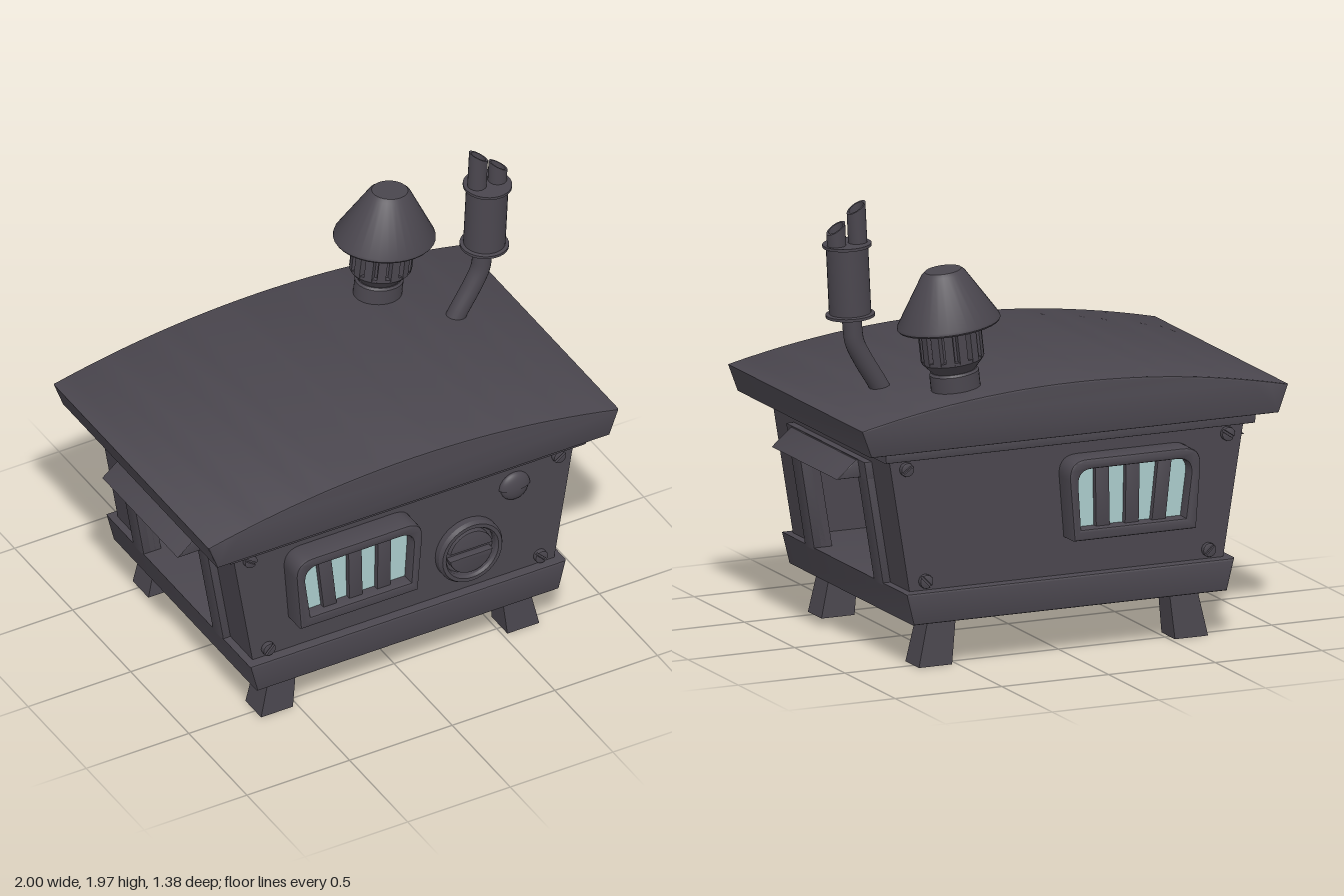
import * as THREE from 'three';
import { toCreasedNormals } from 'three/addons/utils/BufferGeometryUtils.js';

const dark = new THREE.MeshStandardMaterial({ color: 0x4a464e });
const darkOpen = new THREE.MeshStandardMaterial({ color: 0x4a464e, side: THREE.DoubleSide });
const glass = new THREE.MeshStandardMaterial({ color: 0xaacccc });

function add(parent, name, geometry, material = dark, x = 0, y = 0, z = 0) {
  const mesh = new THREE.Mesh(geometry, material);
  mesh.name = name;
  mesh.position.set(x, y, z);
  parent.add(mesh);
  return mesh;
}

const polygon = pts => new THREE.Shape(pts.map(p => new THREE.Vector2(p[0], p[1])));

// An outline in x and y, extruded from z0 to z1 with softened edges
function prism(shape, z0, z1, bevel = 0.008) {
  const g = new THREE.ExtrudeGeometry(shape, {
    depth: z1 - z0 - 2 * bevel, curveSegments: 10, bevelEnabled: bevel > 0,
    bevelSize: bevel, bevelThickness: bevel, bevelOffset: -bevel, bevelSegments: 2,
  });
  g.translate(0, 0, z0 + bevel);
  return toCreasedNormals(g, 0.5);
}

const lathe = (pts, sides = 32) =>
  toCreasedNormals(new THREE.LatheGeometry(pts.map(p => new THREE.Vector2(p[0], p[1])), sides), 0.5);

// Symmetric trapezoid: half width at bottom and top
const trapezoid = (wb, y0, wt, y1) => polygon([[-wb, y0], [wb, y0], [wt, y1], [-wt, y1]]);

// Window outline: flat bottom, wider rounded top
function windowOutline(bl, br, y0, tl, tr, y1, r) {
  const s = new THREE.Shape();
  s.moveTo(bl, y0);
  s.lineTo(br, y0);
  s.lineTo(tr - r * 0.07, y1 - r);
  s.quadraticCurveTo(tr, y1, tr - r, y1);
  s.lineTo(tl + r, y1);
  s.quadraticCurveTo(tl, y1, tl + r * 0.07, y1 - r);
  s.closePath();
  return s;
}

// Two half discs with a slot between them
function slottedDisc(parent, name, r, gap, z0, z1, bevel) {
  const a = Math.asin(gap / r);
  for (const turn of [0, Math.PI]) {
    const s = new THREE.Shape();
    s.absarc(0, 0, r, turn + a, turn + Math.PI - a, false);
    s.closePath();
    add(parent, name, prism(s, z0, z1, bevel));
  }
}

const disc = (r, depth, sides = 32) => new THREE.CylinderGeometry(r, r, depth, sides).rotateX(Math.PI / 2);

// Outer x of the sloping end walls at height y
const wallX = y => 0.735 + (y - 0.345) * 0.164;

// Strip following the end wall slope, from height y0 to y1
const wallStrip = (side, y0, y1, inner, outer) => polygon([
  [side * (wallX(y0) + inner), y0], [side * (wallX(y0) + outer), y0],
  [side * (wallX(y1) + outer), y1], [side * (wallX(y1) + inner), y1]]);

function addBody(root) {
  // Curved roof
  const roof = [[-0.955, 0.97], [0.955, 0.97]];
  for (let i = 0; i <= 24; i++) {
    const x = 1 - i / 12;
    roof.push([x, 1.09 + 0.115 * (1 - x * x)]);
  }
  add(root, 'roof', prism(polygon(roof), -0.67, 0.67));
  add(root, 'roofTrim', prism(trapezoid(0.865, 0.925, 0.87, 0.975), -0.625, 0.625, 0.005));
  add(root, 'base', prism(trapezoid(0.735, 0.205, 0.77, 0.345), -0.625, 0.625, 0.012));

  for (const s of [1, -1]) {
    // Front and back walls
    const zs = [s * 0.53, s * 0.58].sort((a, b) => a - b);
    add(root, 'longWall', prism(trapezoid(wallX(0.34), 0.34, wallX(0.93), 0.93), zs[0], zs[1], 0));

    // End walls with an open doorway, its frame and canopy
    add(root, 'endWallTop', prism(wallStrip(s, 0.8, 0.93, -0.05, 0), -0.54, 0.54, 0));
    add(root, 'doorLintel', prism(wallStrip(s, 0.8, 0.88, -0.03, 0.035), -0.39, 0.39, 0.005));
    for (const [z0, z1] of [[0.295, 0.54], [-0.54, -0.295]])
      add(root, 'endWallSide', prism(wallStrip(s, 0.34, 0.82, -0.05, 0), z0, z1, 0));
    for (const [z0, z1] of [[0.295, 0.39], [-0.39, -0.295]])
      add(root, 'doorPost', prism(wallStrip(s, 0.335, 0.88, -0.03, 0.035), z0, z1, 0.005));
    add(root, 'doorCanopy', prism(polygon([[s * 0.84, 0.8], [s * 0.955, 0.8], [s * 0.865, 0.877], [s * 0.84, 0.877]]), -0.325, 0.325, 0.003));

    // Splayed legs
    for (const sz of [1, -1]) {
      const g = new THREE.BoxGeometry(1, 1, 1);
      const p = g.attributes.position;
      for (let i = 0; i < p.count; i++) {
        const t = p.getY(i) + 0.5;
        p.setXYZ(i, s * (0.6 - 0.035 * t) + p.getX(i) * (0.155 - 0.025 * t), 0.21 * t,
          sz * 0.485 + p.getZ(i) * (0.135 - 0.02 * t));
      }
      g.computeVertexNormals();
      add(root, 'leg', g);
    }
  }
}

function addWindow(root, s) {
  const span = (a, b) => (s > 0 ? [a, b] : [-b, -a]);
  const frame = windowOutline(-0.56, 0.012, 0.51, -0.587, 0.04, 0.867, 0.09);
  const pane = windowOutline(-0.51, -0.022, 0.56, -0.54, -0.005, 0.82, 0.07);
  frame.holes.push(pane);
  add(root, 'windowFrame', prism(frame, ...span(0.56, 0.69), 0.012));
  add(root, 'windowGlass', prism(pane, ...span(0.57, 0.63), 0), glass);
  // Fanned bars: left edge at bottom and top
  for (const [b, t] of [[-0.43, -0.46], [-0.305, -0.31], [-0.17, -0.165]])
    add(root, 'windowBar', prism(polygon([[b, 0.55], [b + 0.065, 0.55], [t + 0.065, 0.825], [t, 0.825]]), ...span(0.62, 0.655), 0.003));
}

function addFittings(root) {
  // Corner screws on both long walls
  for (const sz of [1, -1]) for (const sx of [1, -1]) for (const [x, y, turn] of [[0.752, 0.882, 0.6], [0.663, 0.385, -0.8]]) {
    const screw = new THREE.Group();
    screw.name = 'screw';
    screw.position.set(sx * x, y, sz * 0.58);
    screw.rotation.set(0, sz > 0 ? 0 : Math.PI, turn * sx);
    add(screw, 'screwBase', disc(0.03, 0.02, 16));
    slottedDisc(screw, 'screwHead', 0.03, 0.005, 0, 0.022, 0.003);
    root.add(screw);
  }
  // Round vent on the front
  const vent = new THREE.Group();
  vent.name = 'roundVent';
  vent.position.set(0.31, 0.555, 0.575);
  add(vent, 'ventRing', lathe([[0.155, 0], [0.155, 0.035], [0.145, 0.052], [0.128, 0.052], [0.12, 0.04], [0.12, 0]], 40).rotateX(Math.PI / 2), darkOpen);
  add(vent, 'ventBack', disc(0.125, 0.02));
  slottedDisc(vent, 'ventCover', 0.105, 0.017, 0, 0.045, 0.005);
  root.add(vent);
  // Small lidded lamp on the front
  const lamp = new THREE.Group();
  lamp.name = 'liddedLamp';
  lamp.position.set(0.54, 0.795, 0.58);
  const dome = (r, len) => new THREE.SphereGeometry(r, 24, 12, 0, Math.PI, 0, len).scale(1, 1, 0.45);
  add(lamp, 'lampDome', dome(0.066, Math.PI));
  add(lamp, 'lampLid', dome(0.074, Math.PI / 2), darkOpen);
  root.add(lamp);
}

function addLantern(root) {
  const g = new THREE.Group();
  g.name = 'lanternChimney';
  g.position.set(0.45, 1.12, -0.45);
  g.rotation.z = -0.115;
  g.scale.z = 0.88;
  add(g, 'lanternBase', lathe([[0, 0], [0.108, 0], [0.108, 0.13], [0.1, 0.14], [0.095, 0.14], [0.135, 0.185], [0.135, 0.2], [0.11, 0.2], [0.11, 0.39]]), darkOpen);
  for (let i = 0; i < 14; i++) {
    const a = (i / 14) * Math.PI * 2;
    const rib = add(g, 'lanternRib', new THREE.BoxGeometry(0.038, 0.2, 0.03), dark, Math.sin(a) * 0.122, 0.29, Math.cos(a) * 0.122);
    rib.rotation.y = a;
  }
  add(g, 'lanternShade', lathe([[0.11, 0.375], [0.205, 0.345], [0.22, 0.34], [0.226, 0.348], [0.224, 0.36], [0.095, 0.57], [0.08, 0.583], [0, 0.583]]), darkOpen);
  root.add(g);
}

function addStovePipe(root) {
  const z = -0.182;
  const path = new THREE.CatmullRomCurve3([[0.655, 1.09], [0.7, 1.17], [0.765, 1.275], [0.805, 1.355], [0.815, 1.42], [0.82, 1.5]]
    .map(p => new THREE.Vector3(p[0], p[1], z)));
  add(root, 'stovePipe', new THREE.TubeGeometry(path, 24, 0.042, 20), darkOpen);

  const g = new THREE.Group();
  g.name = 'pipeCanister';
  g.position.set(0.825, 1.47, z);
  g.rotation.z = -0.05;
  add(g, 'canister', lathe([[0, 0], [0.105, 0], [0.105, 0.012], [0.09, 0.016], [0.09, 0.304], [0.105, 0.308], [0.105, 0.32], [0, 0.32]]), darkOpen);
  // Twin outlets with slanted mouths
  for (const [x, top] of [[-0.047, 0.472], [0.052, 0.396]]) {
    const pipe = lathe([[0.041, 0.3], [0.041, top], [0.032, top], [0.032, 0.31]], 20);
    const p = pipe.attributes.position;
    for (let i = 0; i < p.count; i++)
      if (p.getY(i) > top - 0.01) p.setY(i, top - 0.6 * p.getX(i));
    add(g, 'outletPipe', pipe, darkOpen, x, 0, -0.008);
  }
  root.add(g);
}

export function createModel() {
  const root = new THREE.Group();
  root.name = 'wagonHut';
  addBody(root);
  addWindow(root, 1);
  addWindow(root, -1);
  addFittings(root);
  addLantern(root);
  addStovePipe(root);
  return root;
}
